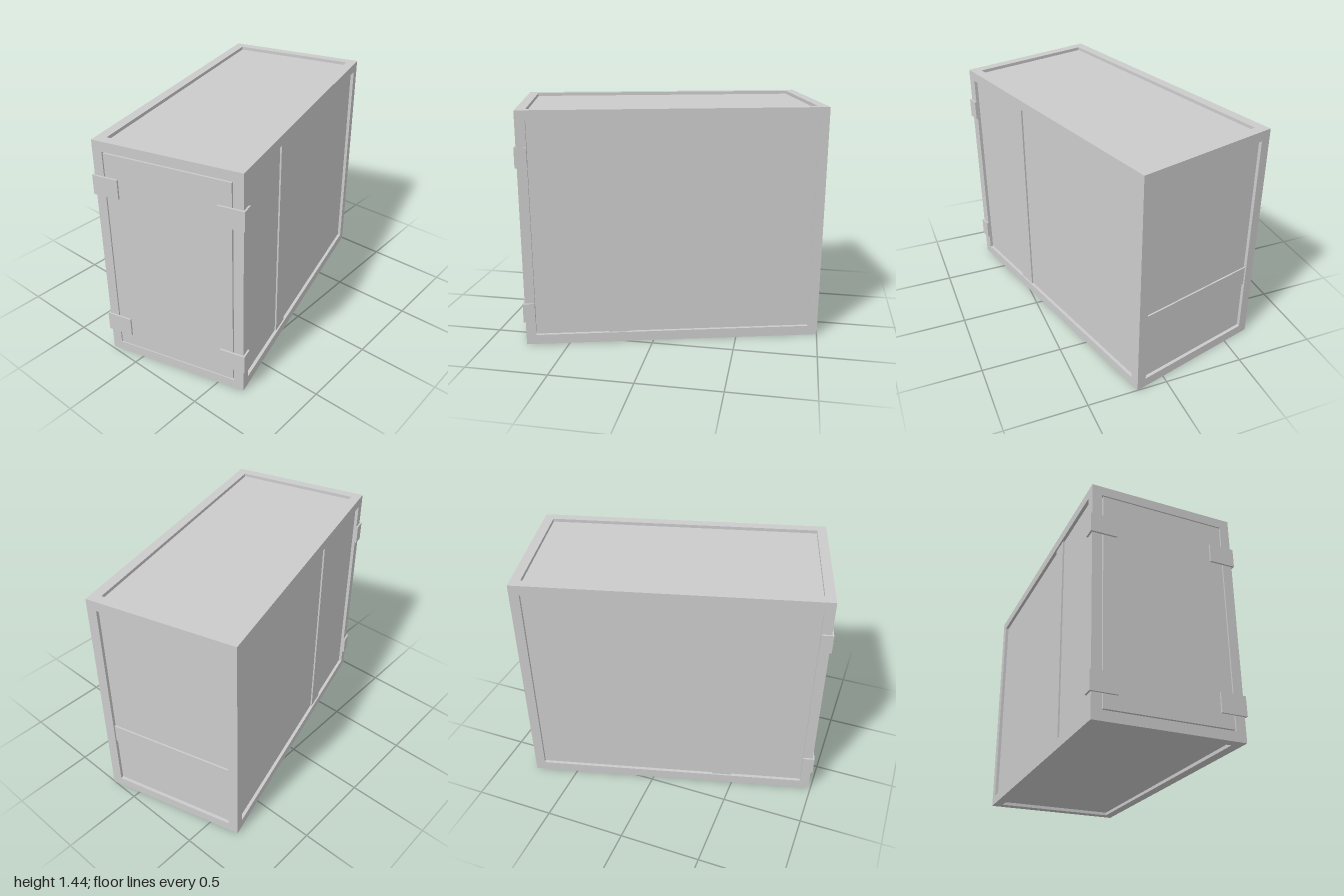
import * as THREE from 'three';

const W = 0.9, H = 1.44, D = 1.816; // outer size
const BEAM = 0.06;   // frame beam thickness
const RECESS = 0.02; // panel depth below the frame
const RIB = 0.01;    // rib thickness on the panels

export function createModel() {
  const material = new THREE.MeshStandardMaterial({ color: 0xcccccc, flatShading: true });
  const model = new THREE.Group();
  model.name = 'cabinet';

  const box = (name, w, h, d, x, y, z, parent = model) => {
    const mesh = new THREE.Mesh(new THREE.BoxGeometry(w, h, d), material);
    mesh.name = name;
    mesh.position.set(x, y, z);
    parent.add(mesh);
    return mesh;
  };

  // Frame: four posts joined by eight rails
  const frame = new THREE.Group();
  frame.name = 'frame';
  model.add(frame);
  const px = (W - BEAM) / 2, pz = (D - BEAM) / 2;
  for (const s of [-1, 1]) {
    for (const t of [-1, 1]) {
      box('post', BEAM, H, BEAM, s * px, H / 2, t * pz, frame);
      const railY = H / 2 + t * (H - BEAM) / 2;
      box('sideRail', BEAM, BEAM, D - 2 * BEAM, s * px, railY, 0, frame);
      box('endRail', W - 2 * BEAM, BEAM, BEAM, 0, railY, s * pz, frame);
    }
  }

  // Recessed panels on all sides, as one inner body
  box('panels', W - 2 * RECESS, H - 2 * RECESS, D - 2 * RECESS, 0, H / 2, 0);

  // Door, flush with the frame and with a narrow gap around it
  const gap = 0.007;
  box('door', W - 2 * (BEAM + gap), H - 2 * (BEAM + gap), RECESS + 0.01,
    0, H / 2, D / 2 - (RECESS + 0.01) / 2);

  // Upright rib on each side panel, level rib on the back panel
  for (const s of [-1, 1]) {
    box('sideRib', RIB, H - 2 * BEAM, 0.125, s * (W / 2 - RECESS + RIB / 2), H / 2, 0.337);
  }
  box('backRib', W - 2 * BEAM, 0.125, RIB, 0, 0.455, -(D / 2 - RECESS + RIB / 2));

  // Angled brackets wrapped around the front corners
  const t = 0.011;
  for (const s of [-1, 1]) {
    for (const y of [0.21, 1.17]) {
      const shape = new THREE.Shape();
      const ox = W / 2 + t, oz = D / 2 + t;
      [[0.302, D / 2], [W / 2, D / 2], [W / 2, 0.848], [ox, 0.848], [ox, oz], [0.302, oz]]
        .forEach(([x, z], i) => (i ? shape.lineTo(s * x, -z) : shape.moveTo(s * x, -z)));
      const geometry = new THREE.ExtrudeGeometry(shape, { depth: 0.12, bevelEnabled: false });
      geometry.rotateX(-Math.PI / 2);
      const bracket = new THREE.Mesh(geometry, material);
      bracket.name = 'bracket';
      bracket.position.y = y - 0.06;
      model.add(bracket);
    }
  }

  // The whole cabinet stands turned on the floor
  model.rotation.y = THREE.MathUtils.degToRad(15);
  model.position.set(-0.01, 0, -0.007);
  const root = new THREE.Group();
  root.name = 'turnedCabinet';
  root.add(model);
  return root;
}
